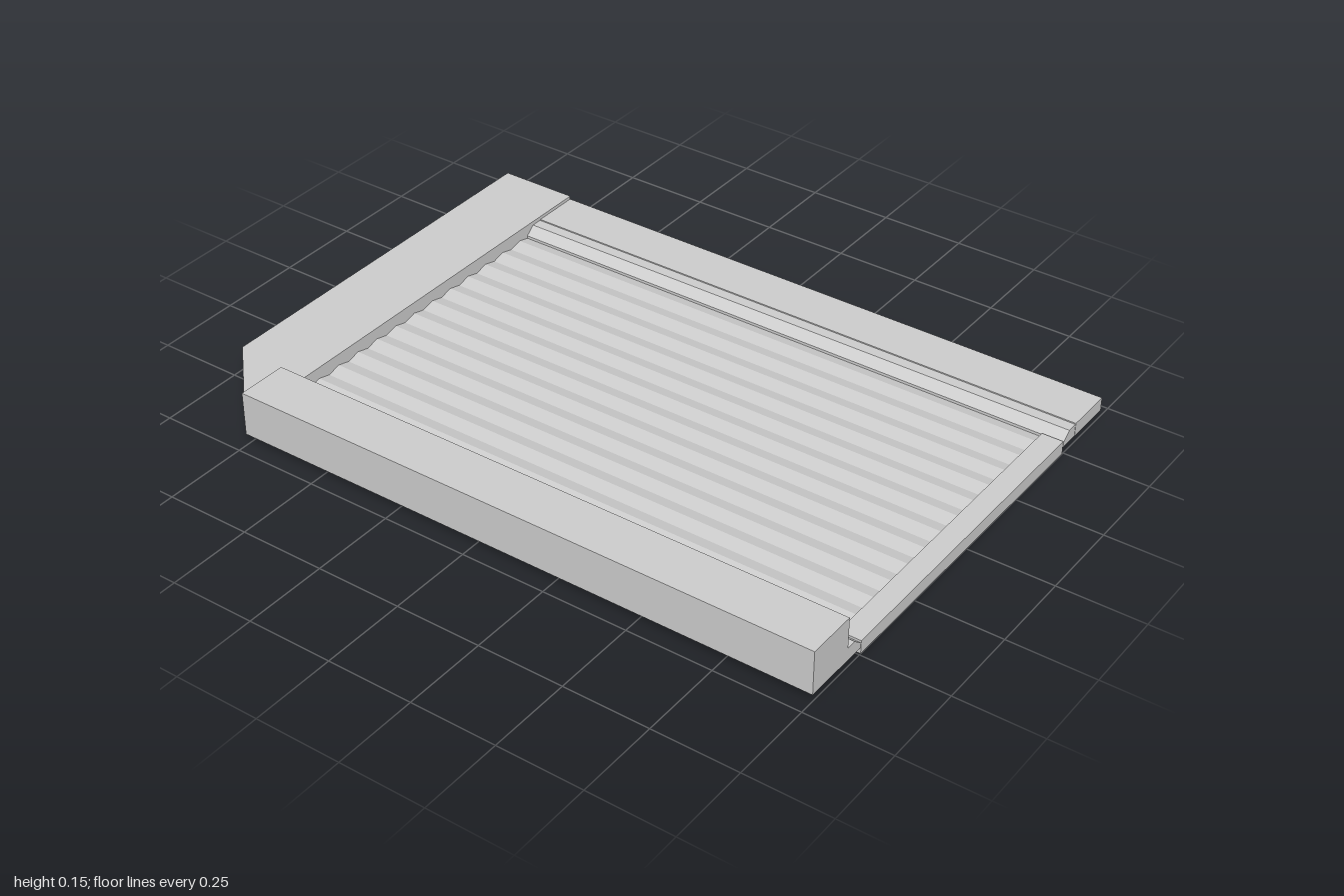
import * as THREE from 'three';

const material = new THREE.MeshStandardMaterial({ color: 0xcccccc, flatShading: true });
const X0 = -0.765, X1 = 1;

function part(name, geometry) {
  const mesh = new THREE.Mesh(geometry, material);
  mesh.name = name;
  return mesh;
}

// Box given by its lower and upper limits on each axis
function box(name, [x0, x1], [y0, y1], [z0, z1]) {
  const g = new THREE.BoxGeometry(x1 - x0, y1 - y0, z1 - z0);
  g.translate((x0 + x1) / 2, (y0 + y1) / 2, (z0 + z1) / 2);
  return part(name, g);
}

function extrude(points, depth) {
  const shape = new THREE.Shape(points.map(([a, b]) => new THREE.Vector2(a, b)));
  return new THREE.ExtrudeGeometry(shape, { depth, bevelEnabled: false });
}

// Cross-section of [z, y] points swept along x
function sweepX(name, points, x0, x1) {
  const g = extrude(points.map(([z, y]) => [-z, y]), x1 - x0);
  g.rotateY(Math.PI / 2).translate(x0, 0, 0);
  return part(name, g);
}

export function createModel() {
  const model = new THREE.Group();
  model.name = 'shutterPanel';

  // Side slab with one cut corner
  const plan = [[-1, -0.705], [X0, -0.705], [X0, 0.705], [-1, 0.46]];
  const slab = extrude(plan.map(([x, z]) => [x, -z]), 0.05);
  slab.rotateX(-Math.PI / 2).translate(0, 0.02, 0);
  model.add(part('sideSlab', slab));

  // Low slab along the back
  model.add(box('backSlab', [X0, X1], [0.02, 0.06], [-0.705, -0.56]));

  // Tall front beam with a long slot in its inner face
  const beam = new THREE.Group();
  beam.name = 'frontBeam';
  beam.add(box('beamBody', [X0, X1], [0.02, 0.15], [0.59, 0.705]));
  const face = new THREE.Shape([[X0, 0.02], [X1, 0.02], [X1, 0.15], [X0, 0.15]]
    .map(([x, y]) => new THREE.Vector2(x, y)));
  face.holes.push(new THREE.Path([[-0.73, 0.085], [-0.73, 0.12], [0.965, 0.12], [0.965, 0.085]]
    .map(([x, y]) => new THREE.Vector2(x, y))));
  const faceGeometry = new THREE.ExtrudeGeometry(face, { depth: 0.035, bevelEnabled: false });
  faceGeometry.translate(0, 0, 0.555);
  beam.add(part('slottedFace', faceGeometry));
  model.add(beam);

  // Rails sloping down to the corrugated sheet
  for (const [name, s] of [['frontRail', 1], ['backRail', -1]]) {
    model.add(sweepX(name, [[0.558, 0.02], [0.558, 0.058], [0.525, 0.058], [0.497, 0.035], [0.497, 0.02]]
      .map(([z, y]) => [z * s, y]), X0, X1));
  }

  // Corrugated sheet, folded into ridges that run along x
  const top = [], bottom = [];
  for (let i = 0; i <= 25; i++) {
    const z = -0.5 + i * 0.0398;
    const y = i % 2 ? 0.036 : 0.026;
    top.push([z, y]);
    bottom.unshift([z, y - 0.004]);
  }
  model.add(sweepX('corrugatedSheet', [...top, ...bottom], X0, 0.94));

  // Closing bar across the open end
  model.add(box('endBar', [0.937, X1], [0, 0.04], [-0.495, 0.495]));

  return model;
}
